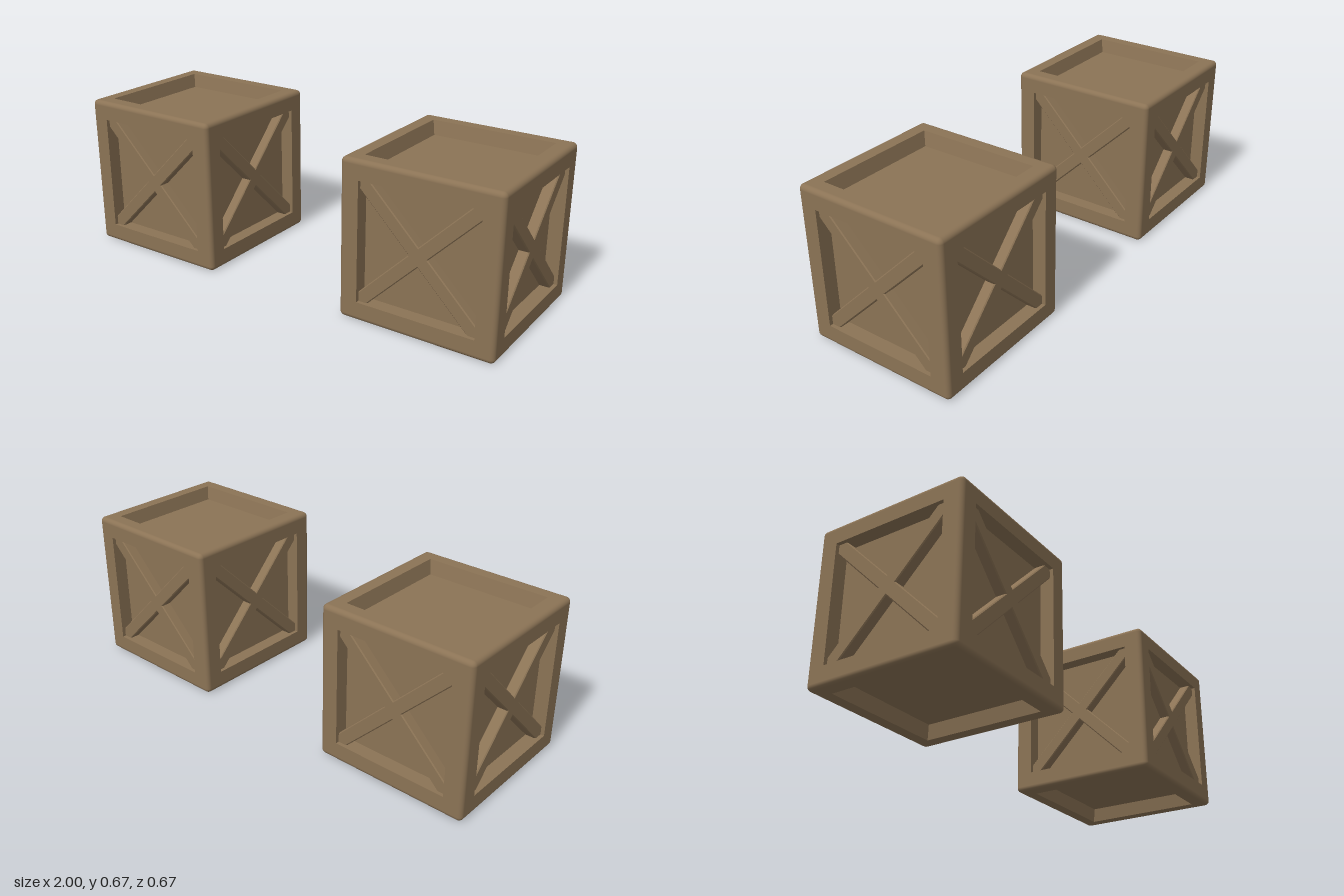
import * as THREE from 'three';
import { RoundedBoxGeometry } from 'three/addons/geometries/RoundedBoxGeometry.js';

const HALF = 0.335;    // half the crate size
const ROUND = 0.02;    // outer edge radius
const OPEN = 0.254;    // half the panel opening
const DEPTH = 0.06;    // panel recess

const wood = new THREE.MeshStandardMaterial({ color: 0x8b7355, side: THREE.DoubleSide });
wood.name = 'brown wood';

function addMesh(parent, name, geometry) {
  const mesh = new THREE.Mesh(geometry, wood);
  mesh.name = name;
  parent.add(mesh);
  return mesh;
}

// Rounded edges and corners: a rounded box without its flat faces
function edgeGeometry() {
  const box = new RoundedBoxGeometry(HALF * 2, HALF * 2, HALF * 2, 4, ROUND);
  const p = box.attributes.position, n = box.attributes.normal;
  const pos = [], nor = [];
  const v = [0, 1, 2].map(() => new THREE.Vector3());
  for (let i = 0; i < p.count; i += 3) {
    v.forEach((w, k) => w.fromBufferAttribute(n, i + k));
    if (v[0].dot(v[1]) > 0.9999 && v[0].dot(v[2]) > 0.9999) continue;
    for (let k = i; k < i + 3; k++) {
      pos.push(p.getX(k), p.getY(k), p.getZ(k));
      nor.push(n.getX(k), n.getY(k), n.getZ(k));
    }
  }
  const g = new THREE.BufferGeometry();
  g.setAttribute('position', new THREE.Float32BufferAttribute(pos, 3));
  g.setAttribute('normal', new THREE.Float32BufferAttribute(nor, 3));
  return g;
}

function squarePath(h, PathType) {
  return new PathType([[-h, -h], [h, -h], [h, h], [-h, h]].map(([x, y]) => new THREE.Vector2(x, y)));
}

// Flat border around an opening
function borderGeometry(open) {
  const shape = squarePath(HALF - ROUND, THREE.Shape);
  shape.holes.push(squarePath(open, THREE.Path));
  return new THREE.ShapeGeometry(shape).translate(0, 0, HALF);
}

// Four walls leading from the opening down to the panel
function wallGeometry(open) {
  let g = new THREE.CylinderGeometry(open * Math.SQRT2, OPEN * Math.SQRT2, DEPTH, 4, 1, true);
  g = g.rotateY(Math.PI / 4).rotateX(Math.PI / 2).translate(0, 0, HALF - DEPTH / 2).toNonIndexed();
  g.computeVertexNormals();
  return g;
}

// Crossed braces clipped to the square opening
function braceGeometry() {
  const c = 0.035, a = OPEN, b = OPEN - c;
  const shape = new THREE.Shape([
    [c, 0], [a, b], [a, a], [b, a], [0, c], [-b, a], [-a, a], [-a, b],
    [-c, 0], [-a, -b], [-a, -a], [-b, -a], [0, -c], [b, -a], [a, -a], [a, -b],
  ].map(([x, y]) => new THREE.Vector2(x, y)));
  const g = new THREE.ExtrudeGeometry(shape, {
    depth: 0.04, bevelEnabled: true, bevelSize: 0.004, bevelThickness: 0.004, bevelSegments: 1,
  });
  return g.translate(0, 0, HALF - DEPTH);
}

function createCrate(name) {
  const crate = new THREE.Group();
  crate.name = name;
  addMesh(crate, 'roundedEdges', edgeGeometry());
  const q = Math.PI / 2;
  const faces = [
    ['front', 0, 0], ['left', 0, q], ['back', 0, 2 * q], ['right', 0, -q],
    ['top', -q, 0], ['bottom', q, 0],
  ];
  const panel = new THREE.PlaneGeometry(OPEN * 2, OPEN * 2).translate(0, 0, HALF - DEPTH);
  const brace = braceGeometry();
  for (const [side, rx, ry] of faces) {
    const face = new THREE.Group();
    face.name = side + 'Side';
    face.rotation.set(rx, ry, 0);
    // The lid and base have slightly flared openings and no braces
    const open = rx ? OPEN + 0.014 : OPEN;
    addMesh(face, 'border', borderGeometry(open));
    addMesh(face, 'recessWalls', wallGeometry(open));
    addMesh(face, 'panel', panel);
    if (!rx) addMesh(face, 'crossBrace', brace);
    crate.add(face);
  }
  return crate;
}

export function createModel() {
  const model = new THREE.Group();
  model.name = 'cratePair';
  for (const s of [-1, 1]) {
    const crate = createCrate(s < 0 ? 'rightCrate' : 'leftCrate');
    crate.position.set(s * (1 - HALF), HALF, 0);
    model.add(crate);
  }
  return model;
}
